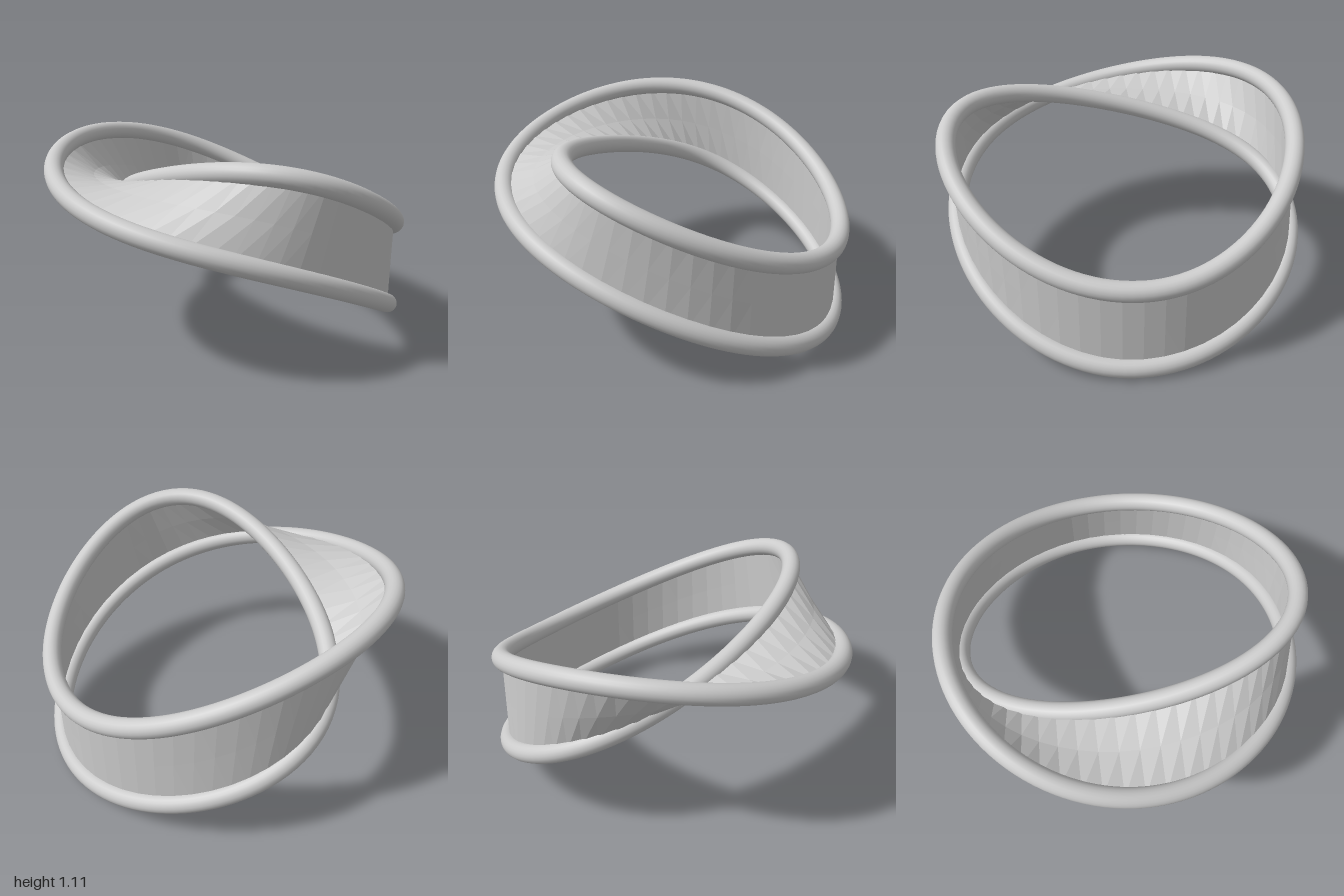
import * as THREE from 'three';

// The two sides of the half-twisted band; s = 0 at the left end, +s runs along the front.
function innerSide(s) {
  return new THREE.Vector3(
    -0.94 * Math.cos(s) + 0.47 * Math.cos(s / 2) ** 4,
    0.654 + 0.3025 * Math.cos(s) - 0.056 * Math.cos(2 * s) + 0.3 * Math.sin(s / 2) + 0.065 * Math.sin(1.5 * s),
    0.945 * Math.sin(s)
  );
}

function outerSide(s) {
  return new THREE.Vector3(
    -0.94 * Math.cos(s),
    0.6815 + 0.3025 * Math.cos(s) - 0.084 * Math.cos(2 * s) - 0.2815 * Math.sin(s / 2) - 0.0465 * Math.sin(1.5 * s),
    0.937 * Math.sin(s)
  );
}

// Both sides join into one closed edge that goes round twice.
class EdgeCurve extends THREE.Curve {
  getPoint(t, target = new THREE.Vector3()) {
    const s = -Math.PI + 4 * Math.PI * t;
    return target.copy(s <= Math.PI ? innerSide(s) : outerSide(s - 2 * Math.PI));
  }
}

// Thin faceted strip ruled between the two sides.
function bandGeometry(segments, across) {
  const positions = [];
  const index = [];
  for (let i = 0; i <= segments; i++) {
    const s = -Math.PI + (2 * Math.PI * i) / segments;
    const a = innerSide(s);
    const b = outerSide(s);
    for (let j = 0; j <= across; j++) {
      positions.push(...a.clone().lerp(b, j / across).toArray());
      if (i < segments && j < across) {
        const p = i * (across + 1) + j;
        const q = p + across + 1;
        index.push(p, p + 1, q, p + 1, q + 1, q);
      }
    }
  }
  const geometry = new THREE.BufferGeometry();
  geometry.setAttribute('position', new THREE.Float32BufferAttribute(positions, 3));
  geometry.setIndex(index);
  geometry.computeVertexNormals();
  return geometry;
}

export function createModel() {
  const group = new THREE.Group();
  group.name = 'twistedBand';

  const band = new THREE.Mesh(
    bandGeometry(56, 2),
    new THREE.MeshStandardMaterial({ color: 0xcccccc, flatShading: true, side: THREE.DoubleSide })
  );
  band.name = 'band';

  // Round rim following the single edge
  const rim = new THREE.Mesh(
    new THREE.TubeGeometry(new EdgeCurve(), 240, 0.052, 20, true),
    new THREE.MeshStandardMaterial({ color: 0xcccccc })
  );
  rim.name = 'rim';

  group.add(band, rim);
  return group;
}
